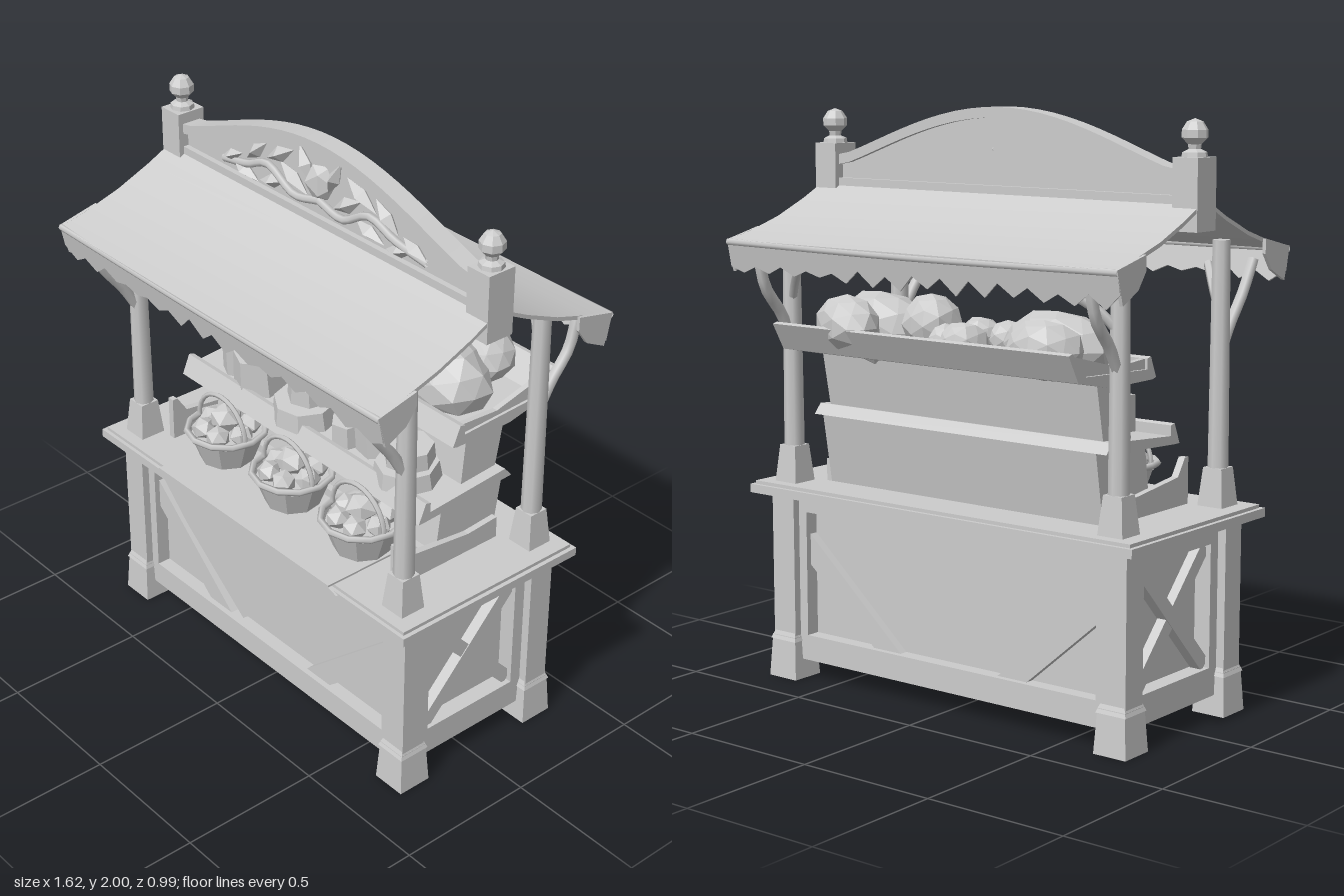
import * as THREE from 'three';
import { toCreasedNormals } from 'three/addons/utils/BufferGeometryUtils.js';

const grey = new THREE.MeshStandardMaterial({ color: 0xcccccc, side: THREE.DoubleSide });
grey.name = 'plain grey';

// small seeded random in -1..1
let seed = 7;
const rnd = () => { seed = (seed * 16807) % 2147483647; return (seed / 2147483647) * 2 - 1; };

export function createModel() {
  const root = new THREE.Group();
  root.name = 'marketStall';
  const section = (name) => { const g = new THREE.Group(); g.name = name; root.add(g); return g; };

  const add = (parent, name, geo, x = 0, y = 0, z = 0) => {
    const m = new THREE.Mesh(geo, grey);
    m.name = name;
    m.position.set(x, y, z);
    parent.add(m);
    return m;
  };
  // box given by its extents
  const box = (p, name, x0, x1, y0, y1, z0, z1) =>
    add(p, name, new THREE.BoxGeometry(x1 - x0, y1 - y0, z1 - z0), (x0 + x1) / 2, (y0 + y1) / 2, (z0 + z1) / 2);
  // square beam between two points
  const beam = (p, name, a, b, w, d) => {
    const A = new THREE.Vector3(...a), B = new THREE.Vector3(...b);
    const m = add(p, name, new THREE.BoxGeometry(w, A.distanceTo(B), d));
    m.position.copy(A).add(B).multiplyScalar(0.5);
    m.quaternion.setFromUnitVectors(new THREE.Vector3(0, 1, 0), B.sub(A).normalize());
    return m;
  };
  const tube = (p, name, pts, r, n = 8) =>
    add(p, name, new THREE.TubeGeometry(new THREE.CatmullRomCurve3(pts.map((q) => new THREE.Vector3(...q))), n, r, 6));
  const shapeOf = (pts) => new THREE.Shape(pts.map((q) => new THREE.Vector2(...q)));
  // (z, y) profile extruded along x, centred
  const alongX = (p, name, pts, width, x = 0) => {
    const g = new THREE.ExtrudeGeometry(shapeOf(pts), { depth: width, bevelEnabled: false });
    g.rotateY(-Math.PI / 2).translate(width / 2, 0, 0);
    return add(p, name, g, x);
  };
  const flat = (g) => { const f = g.index ? g.toNonIndexed() : g; f.computeVertexNormals(); return f; };
  // faceted lump of produce, irregular by a position rule
  const lump = (p, name, x, y, z, rx, ry, rz, detail = 1) => {
    const g = new THREE.IcosahedronGeometry(1, detail), a = g.attributes.position, k = rnd() * 3;
    for (let i = 0; i < a.count; i++) {
      const s = 1 + 0.08 * Math.sin(a.getX(i) * 5 + k) * Math.cos(a.getZ(i) * 4 + k);
      a.setXYZ(i, a.getX(i) * rx * s, a.getY(i) * ry * s, a.getZ(i) * rz * s);
    }
    const m = add(p, name, flat(g), x, y, z);
    m.rotation.y = rnd();
    return m;
  };

  // ---- posts, feet and roof braces
  const frame = section('frame');
  for (const sx of [-1, 1]) for (const [z, sz] of [[0.265, 1], [-0.3, -1]]) {
    const x = sx * 0.705;
    const foot = new THREE.CylinderGeometry(0.075, 0.088, 0.15, 4).rotateY(Math.PI / 4);
    add(frame, 'foot', flat(foot), x, 0.075, z);
    const chamfer = new THREE.CylinderGeometry(0.066, 0.082, 0.03, 4).rotateY(Math.PI / 4);
    add(frame, 'footCollar', flat(chamfer), x, 0.15, z);
    box(frame, 'lowerPost', x - 0.05, x + 0.05, 0.15, 0.67, z - 0.047, z + 0.047);
    const px = sx * 0.69;
    const base = new THREE.CylinderGeometry(0.05, 0.068, 0.13, 4).rotateY(Math.PI / 4);
    add(frame, 'postBase', flat(base), px, 0.765, z);
    const post = new THREE.CylinderGeometry(0.03, 0.036, 0.87, 8);
    add(frame, 'upperPost', post, px, 1.145, z);
    tube(frame, 'eaveBrace', [[px, 1.2, z], [px, 1.3, z + sz * 0.06], [px, 1.39, z + sz * 0.13],
      [px, 1.5, sz * 0.46]], 0.02);
    tube(frame, 'sideBrace', [[px, 1.33, z], [sx * 0.64, 1.4, z + sz * 0.04], [sx * 0.54, 1.48, sz * 0.42]], 0.016);
  }

  // ---- counter with framed panels and diagonal braces
  const counter = section('counter');
  box(counter, 'counterTop', -0.81, 0.81, 0.66, 0.69, -0.4, 0.37);
  box(counter, 'counterTopFace', -0.795, 0.795, 0.688, 0.702, -0.387, 0.357);
  box(counter, 'counterBody', -0.665, 0.665, 0.07, 0.66, -0.27, 0.235);
  for (const [z, s] of [[0.235, 1], [-0.27, -1]]) {
    const rail = (name, x0, x1, y0, y1) =>
      box(counter, name, x0, x1, y0, y1, Math.min(z, z + s * 0.05), Math.max(z, z + s * 0.05));
    rail('bottomRail', -0.66, 0.66, 0.07, 0.16);
    rail('topRail', -0.66, 0.66, 0.6, 0.66);
    for (const sx of [-1, 1]) {
      rail('panelStile', Math.min(sx * 0.66, sx * 0.62), Math.max(sx * 0.66, sx * 0.62), 0.16, 0.6);
      const strip = shapeOf([[sx * 0.62, 0.52], [sx * 0.62, 0.41], [sx * 0.33, 0.16], [sx * 0.21, 0.16]]);
      const g = new THREE.ExtrudeGeometry(strip, { depth: 0.03, bevelEnabled: false });
      add(counter, 'panelBrace', g, 0, 0, s > 0 ? z : z - 0.03);
    }
  }
  for (const sx of [-1, 1]) {
    const x = sx * 0.69;
    box(counter, 'endBottomRail', x - 0.035, x + 0.035, 0.07, 0.17, -0.26, 0.22);
    box(counter, 'endTopRail', x - 0.035, x + 0.035, 0.59, 0.66, -0.26, 0.22);
    for (const z of [-0.235, 0.2]) box(counter, 'endStile', x - 0.035, x + 0.035, 0.17, 0.59, z - 0.025, z + 0.025);
    beam(counter, 'crossBrace', [x, 0.18, 0.17], [x, 0.58, -0.21], 0.04, 0.05);
    beam(counter, 'crossBrace', [x, 0.18, -0.21], [x, 0.58, 0.17], 0.034, 0.05);
  }

  // ---- pointed cloth over the counter edge
  const cloth = section('cloth');
  add(cloth, 'clothDrop', new THREE.ExtrudeGeometry(
    shapeOf([[-0.45, 0.705], [-0.3, 0.56], [-0.12, 0.42], [0.01, 0.32], [0.16, 0.45], [0.34, 0.58], [0.5, 0.69], [0.45, 0.705]]),
    { depth: 0.008, bevelEnabled: false }), 0, 0, 0.375);
  box(cloth, 'clothTop', -0.45, 0.46, 0.702, 0.709, 0, 0.383);

  // ---- stepped display shelves
  const shelves = section('shelves');
  alongX(shelves, 'shelfSteps', [[0.03, 0.7], [0.0, 0.93], [-0.08, 0.96], [-0.1, 1.17], [-0.27, 1.17],
    [-0.23, 0.96], [-0.27, 0.94], [-0.23, 0.7]], 1.16);
  alongX(shelves, 'lowerTray', [[0.11, 0.92], [0.14, 0.92], [0.11, 0.99], [0.09, 0.985], [0.09, 0.95],
    [-0.24, 0.975], [-0.27, 0.94]], 1.24);
  alongX(shelves, 'upperTray', [[-0.02, 1.15], [0.0, 1.155], [-0.03, 1.225], [-0.05, 1.22], [-0.05, 1.185],
    [-0.38, 1.2], [-0.45, 1.28], [-0.47, 1.275], [-0.42, 1.185], [-0.25, 1.15]], 1.24);
  box(shelves, 'displayBase', -0.58, 0.58, 0.7, 0.74, -0.23, 0.05);
  for (const sx of [-1, 1]) {
    alongX(shelves, 'upperTrayEnd', [[-0.03, 1.16], [-0.03, 1.22], [-0.2, 1.21], [-0.46, 1.275], [-0.42, 1.19]], 0.02, sx * 0.6);
    alongX(shelves, 'baseEnd', [[0.22, 0.7], [0.22, 0.86], [0.2, 0.86], [0.16, 0.8], [-0.1, 0.77],
      [-0.23, 0.78], [-0.23, 0.7]], 0.025, sx * 0.59);
  }

  // ---- three handled baskets of fruit
  const baskets = section('baskets');
  for (const x of [-0.36, 0, 0.36]) {
    const b = new THREE.Group();
    b.name = 'basket';
    b.position.set(x, 0.705, 0.15);
    baskets.add(b);
    add(b, 'basketBody', flat(new THREE.CylinderGeometry(0.14, 0.095, 0.12, 9, 1, true)), 0, 0.06, 0);
    add(b, 'basketFill', new THREE.CircleGeometry(0.13, 9).rotateX(-Math.PI / 2), 0, 0.1, 0);
    add(b, 'basketRim', new THREE.TorusGeometry(0.14, 0.012, 5, 12).rotateX(Math.PI / 2), 0, 0.12, 0);
    add(b, 'basketHandle', new THREE.TorusGeometry(0.13, 0.009, 5, 14, Math.PI), 0, 0.12, 0.02);
    for (let i = 0; i < 6; i++) {
      const a = i * Math.PI / 3;
      lump(b, 'fruit', Math.cos(a) * 0.08, 0.125, Math.sin(a) * 0.08, 0.045, 0.04, 0.045, 0);
    }
    lump(b, 'fruit', 0, 0.16, 0, 0.06, 0.05, 0.06, 0);
  }

  // ---- cheeses and jars on the lower tray
  const goods = section('goods');
  for (const [x, z, r, h, n] of [[-0.46, 0.0, 0.07, 0.12, 7], [-0.33, 0.02, 0.1, 0.13, 6], [-0.07, 0.03, 0.12, 0.07, 8],
    [-0.07, 0.01, 0.085, 0.13, 7], [0.14, 0.02, 0.065, 0.08, 6], [0.24, -0.02, 0.08, 0.13, 6],
    [0.43, 0.02, 0.115, 0.06, 8], [0.43, 0.01, 0.09, 0.12, 7]]) {
    const m = add(goods, 'cheese', flat(new THREE.CylinderGeometry(r * 0.92, r, h, n)), x, 0.965 + h / 2, z);
    m.rotation.set(0.08, rnd(), rnd() * 0.06);
  }

  // ---- bread and produce heaped on the upper tray
  for (const [x, y, z, rx, ry, rz] of [[-0.36, 1.25, -0.18, 0.2, 0.12, 0.14], [-0.42, 1.26, -0.33, 0.13, 0.1, 0.1],
    [-0.12, 1.25, -0.13, 0.06, 0.06, 0.07], [-0.03, 1.26, -0.16, 0.07, 0.06, 0.07], [-0.07, 1.25, -0.3, 0.08, 0.07, 0.08],
    [0.04, 1.24, -0.26, 0.06, 0.06, 0.06], [0.13, 1.29, -0.22, 0.1, 0.1, 0.1],
    [0.39, 1.25, -0.18, 0.19, 0.13, 0.14], [0.38, 1.28, -0.36, 0.16, 0.1, 0.1]]) {
    lump(goods, 'loaf', x, y, z, rx, ry, rz);
  }

  // ---- cloth roof: two slopes with ragged valances
  const roof = section('roof');
  for (const s of [1, -1]) {
    const side = new THREE.Group();
    side.name = s > 0 ? 'frontSlope' : 'backSlope';
    side.rotation.y = s > 0 ? 0 : Math.PI;
    roof.add(side);
    const top = [[0.03, 1.715], [0.12, 1.67], [0.25, 1.615], [0.38, 1.575], [0.49, 1.55]];
    const under = top.map(([z, y]) => [z, y - 0.014]).reverse();
    const sheet = alongX(side, 'roofSheet', [...top, ...under], 1.6);
    sheet.geometry = toCreasedNormals(sheet.geometry, 0.6);
    const hem = [[-0.81, 1.545]];
    for (let i = 0; i <= 28; i++) hem.push([-0.81 + i * 1.62 / 28, i % 2 ? 1.435 + 0.012 * rnd() : 1.468 + 0.012 * rnd()]);
    hem.push([0.81, 1.545]);
    const v = add(side, 'valance', new THREE.ExtrudeGeometry(shapeOf(hem.map(([x, y]) => [x, y - 1.545])),
      { depth: 0.008, bevelEnabled: false }), 0, 1.545, 0.48);
    v.rotation.x = 0.2;
    for (const x of [-0.805, 0.805])
      alongX(side, 'sideFlap', [[0.49, 1.55], [0.34, 1.585], [0.34, 1.535], [0.38, 1.48], [0.46, 1.44]], 0.012, x);
    tube(side, 'eaveRoll', [[-0.81, 1.542, 0.483], [0, 1.536, 0.483], [0.81, 1.542, 0.483]], 0.012, 10);
  }

  // ---- arched crest board with rim, ridge beam and end posts
  const crest = section('crest');
  const arch = (inset, bottom) => {
    const p = [[-0.72, bottom]];
    for (let i = 0; i <= 24; i++) {
      const x = -0.72 + i * 0.06;
      p.push([x, 1.82 + 0.18 * Math.cos(Math.min(1, Math.abs(x) / 0.7) * Math.PI / 2) ** 1.15 - inset]);
    }
    p.push([0.72, bottom]);
    return p;
  };
  const archRim = shapeOf([...arch(0, 1.75).slice(1, -1), ...arch(0.035, 1.75).slice(1, -1).reverse()]);
  add(crest, 'crestPanel', new THREE.ExtrudeGeometry(shapeOf(arch(0.015, 1.64)), { depth: 0.03, bevelEnabled: false }), 0, 0, -0.015);
  add(crest, 'crestRim', toCreasedNormals(new THREE.ExtrudeGeometry(archRim, { depth: 0.07, bevelEnabled: false }), 0.5), 0, 0, -0.035);
  box(crest, 'ridgeBeam', -0.72, 0.72, 1.64, 1.74, -0.035, 0.035);
  for (const sx of [-1, 1]) {
    const x = sx * 0.755;
    box(crest, 'crestPost', x - 0.047, x + 0.047, 1.63, 1.86, -0.053, 0.053);
    const finial = [[0, -0.02], [0.045, -0.02], [0.04, 0.015], [0.02, 0.025], [0.022, 0.04], [0.042, 0.06],
      [0.042, 0.085], [0.026, 0.11], [0, 0.12]].map((q) => new THREE.Vector2(...q));
    add(crest, 'finial', flat(new THREE.LatheGeometry(finial, 8)), x, 1.86, 0);
  }

  // ---- carved leaves and scrolls on the crest front
  const carving = section('carving');
  const leaf = (x, y, len, turn) => {
    const m = add(carving, 'leaf', new THREE.OctahedronGeometry(1), x, y, 0.025);
    m.scale.set(len, len * 0.35, 0.03);
    m.rotation.z = turn;
  };
  for (const s of [-1, 1]) {
    tube(carving, 'scroll', [[0, 1.8, 0.03], [s * 0.12, 1.78, 0.035], [s * 0.25, 1.84, 0.035], [s * 0.36, 1.8, 0.03],
      [s * 0.5, 1.77, 0.02]], 0.014, 16);
    for (const [x, y, len, turn] of [[0.07, 1.9, 0.07, 1.1], [0.13, 1.83, 0.08, 0.5], [0.2, 1.89, 0.08, -0.5],
      [0.24, 1.78, 0.07, -0.3], [0.32, 1.86, 0.07, -0.7], [0.38, 1.77, 0.07, 0.3], [0.45, 1.8, 0.06, -0.4]])
      leaf(s * x, y, len, s * turn);
  }
  lump(carving, 'centreFlower', 0, 1.86, 0.02, 0.06, 0.07, 0.035, 0);

  return root;
}
